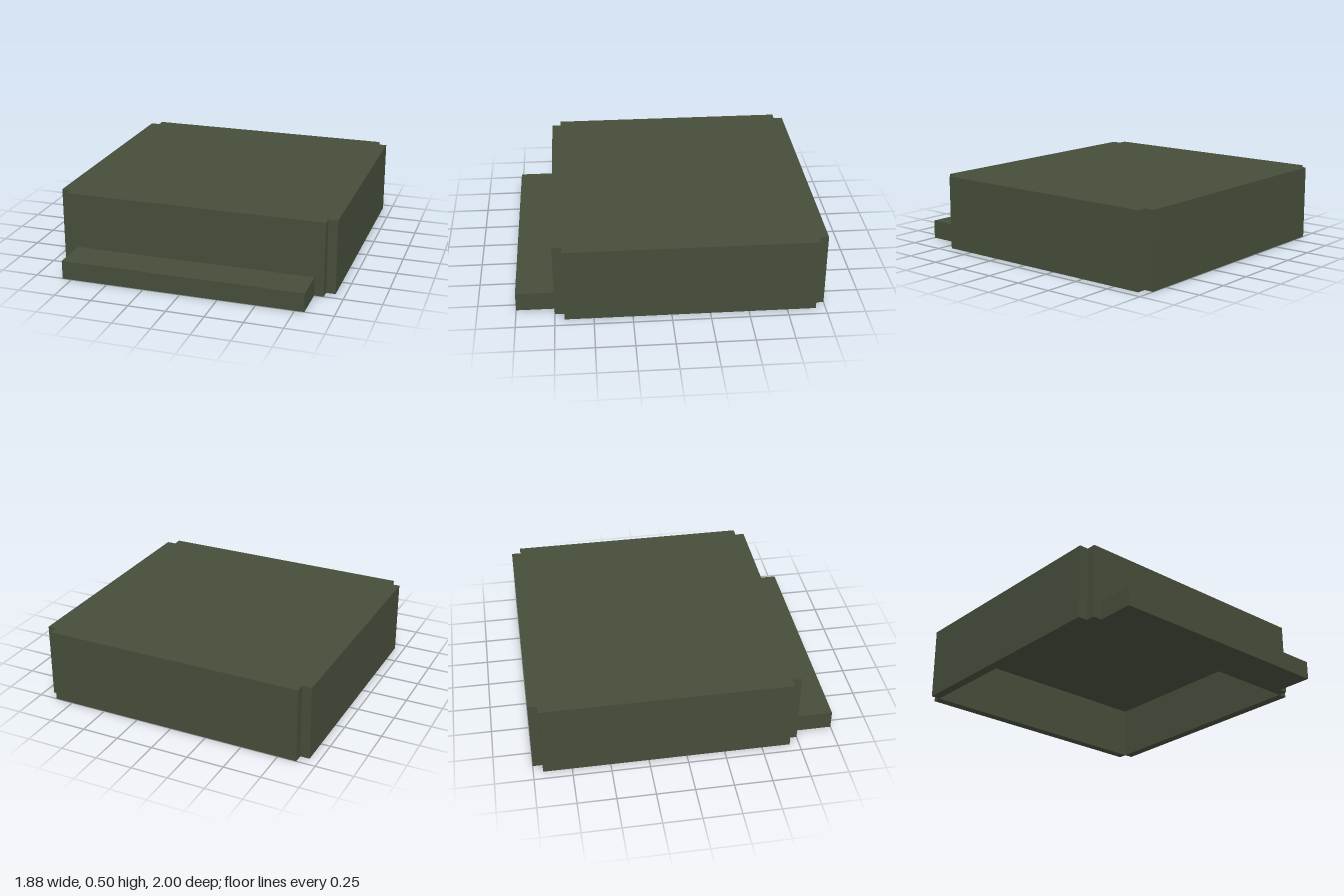
import * as THREE from 'three';

export function createModel() {
  const model = new THREE.Group();
  model.name = 'cap';
  const olive = new THREE.MeshStandardMaterial({ color: 0x464d3a });
  olive.name = 'olive green';

  // Box from its size, horizontal centre and underside height
  function box(name, [w, h, d], [x, bottom, z]) {
    const mesh = new THREE.Mesh(new THREE.BoxGeometry(w, h, d), olive);
    mesh.name = name;
    mesh.position.set(x, bottom + h / 2, z);
    model.add(mesh);
  }

  const wall = 0.0625, height = 0.5, plate = 0.125;
  const width = 1.75, depth = 1.625, midZ = -0.125; // hollow inside

  // Thick crown plate closing the hollow shell
  box('crownPlate', [width, plate, depth], [0, height - plate, midZ]);

  // Four walls, leaving square notches at the corners
  for (const [side, s] of [['left', 1], ['right', -1]])
    box(side + 'Wall', [wall, height, depth], [s * (width + wall) / 2, 0, midZ]);
  for (const [side, s] of [['front', 1], ['back', -1]])
    box(side + 'Wall', [width, height, wall], [0, 0, midZ + s * (depth + wall) / 2]);

  // Visor along the lower front edge
  box('visor', [1.625, 0.125, 0.25], [0, 0, 0.875]);

  return model;
}
